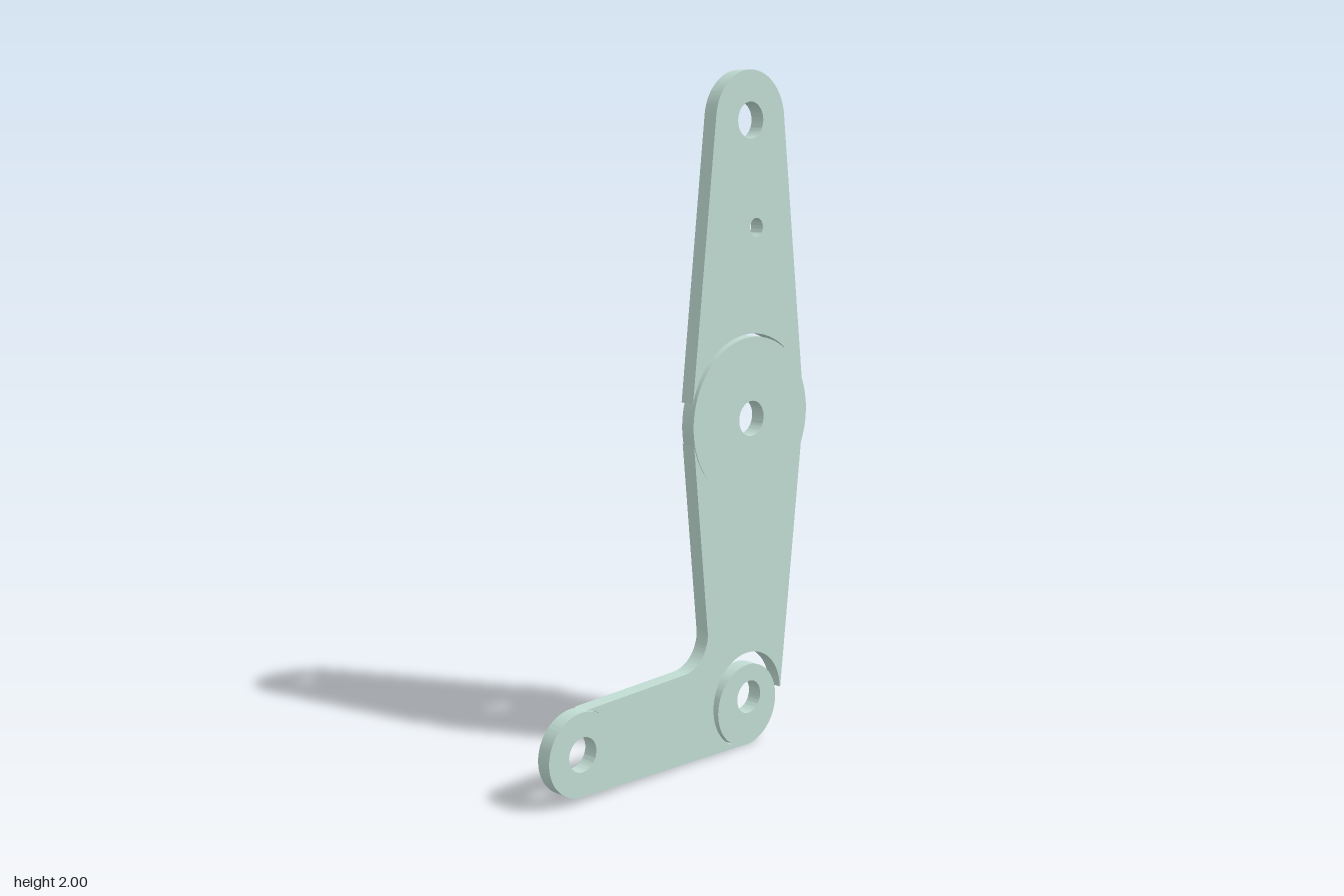
import * as THREE from 'three';
import { toCreasedNormals } from 'three/addons/utils/BufferGeometryUtils.js';

const THICKNESS = 0.046;
const rad = THREE.MathUtils.degToRad;

// Profile is drawn with its x running along the model's z axis.
function leverShape() {
  const s = new THREE.Shape();
  const arc = (x, y, r, from, to, clockwise = false) =>
    s.absarc(x, y, r, rad(from), rad(to), clockwise);

  // foot: underside, rounded end and the short slit above it
  s.moveTo(-0.25, 0.003);
  arc(0.395, 0.142, 0.122, -91, 122);
  s.quadraticCurveTo(0.352, 0.262, 0.385, 0.2665);

  // inner corner fillet, then up the front edge
  arc(0.005, 0.38, 0.1, 270, 170, true);
  s.lineTo(-0.037, 0.95);

  // lower slit, middle boss and upper crescent slit
  s.quadraticCurveTo(-0.052, 0.888, -0.0912, 0.8457);
  arc(-0.275, 1.0, 0.24, -40, 126);
  arc(-0.265, 1.01, 0.24, 129, 14.5, true);

  // rounded top, back edge and the bulge of the middle boss
  arc(-0.263, 1.86, 0.141, 6, 174);
  arc(-0.275, 1.0, 0.24, 156, 204);
  s.lineTo(-0.413, 0.155);

  // crescent gap around the bottom boss
  arc(-0.265, 0.145, 0.145, 178, -60, true);
  arc(-0.265, 0.127, 0.125, -60, 270);
  s.closePath();

  // pivot holes: top, small, middle, bottom, foot
  const holes = [
    [-0.263, 1.86, 0.052], [-0.29, 1.556, 0.027], [-0.275, 1.0, 0.052],
    [-0.272, 0.15, 0.05], [0.395, 0.142, 0.05],
  ];
  for (const [x, y, r] of holes) {
    s.holes.push(new THREE.Path().absarc(x, y, r, 0, Math.PI * 2, true));
  }
  return s;
}

export function createModel() {
  const group = new THREE.Group();
  group.name = 'leverPlate';

  let geometry = new THREE.ExtrudeGeometry(leverShape(), {
    depth: THICKNESS, bevelEnabled: false, curveSegments: 48,
  });
  geometry.translate(0, 0, -THICKNESS / 2);
  geometry.rotateY(-Math.PI / 2);
  geometry = toCreasedNormals(geometry, 0.5);

  const lever = new THREE.Mesh(geometry, new THREE.MeshStandardMaterial({ color: 0xc0dcd2 }));
  lever.name = 'lever';
  group.add(lever);
  return group;
}
